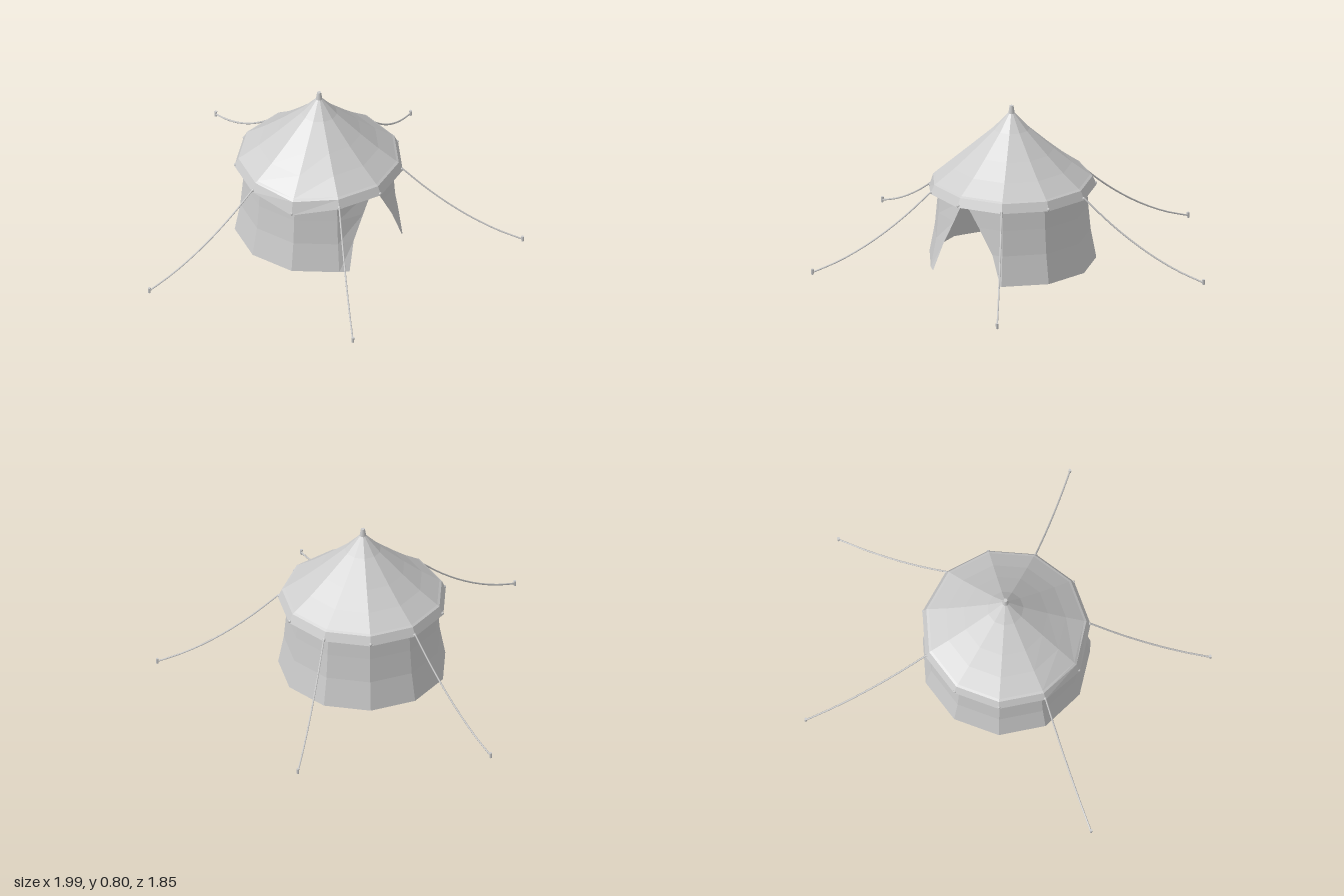
import * as THREE from 'three';

const SIDES = 11, CX = 0.01, CZ = 0.08;
const canvas = new THREE.MeshStandardMaterial({ color: 0xcccccc, flatShading: true, side: THREE.DoubleSide });
const solid = new THREE.MeshStandardMaterial({ color: 0xcccccc });

// Point on the tent's polygon: corner k (0 = front centre, counting towards +x)
const corner = (k, r, y) => {
  const a = (k / SIDES) * Math.PI * 2;
  return new THREE.Vector3(CX + Math.sin(a) * r, y, CZ + Math.cos(a) * r);
};

// Skin a list of rows (each row a list of points, top row first)
function skin(rows) {
  const cols = rows[0].length, pos = [], idx = [];
  rows.forEach(row => row.forEach(p => pos.push(p.x, p.y, p.z)));
  for (let i = 0; i < rows.length - 1; i++) {
    for (let j = 0; j < cols - 1; j++) {
      const a = i * cols + j, b = a + cols;
      idx.push(a, b, a + 1, b, b + 1, a + 1);
    }
  }
  const g = new THREE.BufferGeometry();
  g.setAttribute('position', new THREE.Float32BufferAttribute(pos, 3));
  g.setIndex(idx);
  g.computeVertexNormals();
  return g;
}

export function createModel() {
  const tent = new THREE.Group();
  tent.name = 'tent';
  const add = (name, geo, mat, parent = tent) => {
    const m = new THREE.Mesh(geo, mat);
    m.name = name;
    parent.add(m);
    return m;
  };
  // The rim sags at one corner beside the entrance
  const sag = k => (k === SIDES - 2 ? 0.045 : 0);
  const ring = (r, y, droop = 0) =>
    Array.from({ length: SIDES + 1 }, (_, k) => corner(k, r, y - droop * sag(k)));

  // Roof: slightly hollow cone
  add('roof', skin([
    ring(0.012, 0.77), ring(0.09, 0.685), ring(0.21, 0.578), ring(0.3, 0.503, 0.1), ring(0.39, 0.437, 0.4),
  ]), canvas);

  // Valance hanging from the eaves, folded under to the wall
  add('valance', skin([
    ring(0.39, 0.437, 0.4), ring(0.402, 0.43, 0.5), ring(0.422, 0.385, 1), ring(0.412, 0.383, 1), ring(0.372, 0.405),
  ]), canvas);

  // Wall with a triangular entrance; [height, radius, right opening, left opening]
  const wallRows = [
    [0.405, 0.372, 0.02, 0.02], [0.28, 0.38, 0.4, 0.33], [0.15, 0.392, 0.76, 0.64], [0, 0.42, 0.97, 0.82],
  ].map(([y, r, right, left]) => {
    const row = [corner(0, r, y).lerp(corner(1, r, y), right)];
    for (let k = 1; k < SIDES; k++) row.push(corner(k, r, y));
    const flap = corner(0, r, y).lerp(corner(SIDES - 1, r, y), left);
    flap.z += 0.02 * (1 - y / 0.405);
    row.push(flap);
    return row;
  });
  add('wall', skin(wallRows), canvas);

  // Centre pole and its tip above the roof
  add('centrePole', new THREE.CylinderGeometry(0.018, 0.018, 0.75, 10), solid).position.set(CX, 0.375, CZ);
  add('poleTip', new THREE.CylinderGeometry(0.01, 0.019, 0.055, 10), solid).position.set(CX, 0.777, CZ);

  // Small knots at the rim corners
  for (let k = 0; k < SIDES; k++) {
    add('rimKnot', new THREE.SphereGeometry(0.009, 6, 4), solid)
      .position.copy(corner(k, 0.416, 0.392 - sag(k)));
  }

  // Guy ropes: [rim corner, peg x, peg z]
  for (const [k, px, pz] of [[1, 0.6, 0.91], [3, 0.99, -0.225], [5, 0.32, -0.92], [8, -0.99, -0.13], [10, -0.6, 0.89]]) {
    const guy = new THREE.Group();
    guy.name = 'guyRope';
    tent.add(guy);
    const start = corner(k, 0.42, 0.395), end = new THREE.Vector3(px, 0.012, pz);
    const points = [0, 0.2, 0.4, 0.6, 0.8, 1].map(t => {
      const p = start.clone().lerp(end, t);
      p.y -= 0.2 * t * (1 - t);
      return p;
    });
    add('rope', new THREE.TubeGeometry(new THREE.CatmullRomCurve3(points), 12, 0.0045, 6), solid, guy);
    const peg = add('peg', new THREE.CylinderGeometry(0.008, 0.006, 0.028, 6), solid, guy);
    peg.position.set(px, 0.014, pz);
  }
  return tent;
}
